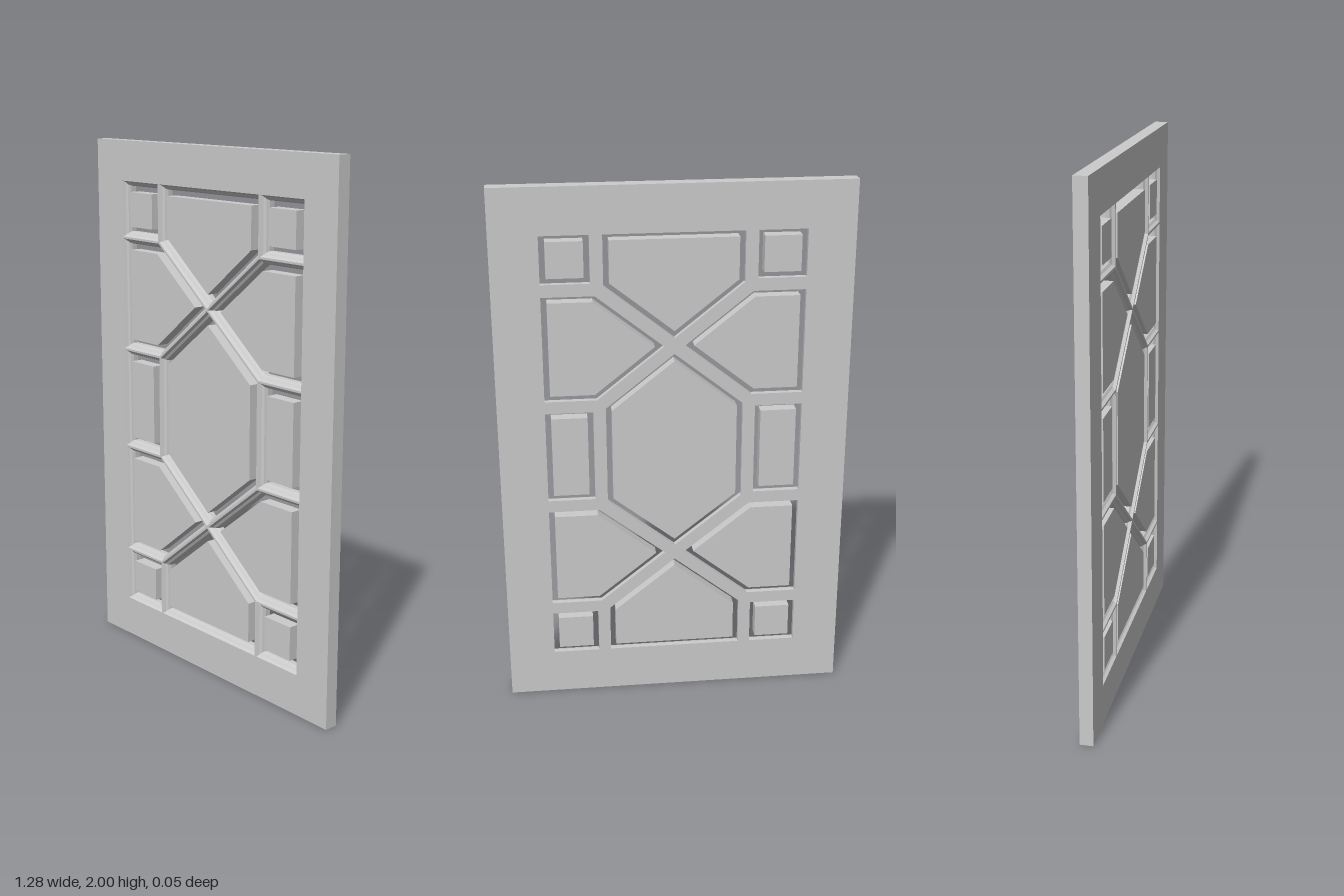
import * as THREE from 'three';

const W = 0.642, H = 2, Z = 0.025;                     // half width, height, half thickness
const OUT = 0.493, BAR = 0.273;                        // opening edge, upright bar centre
const Y = [0.152, 0.37, 0.804, 1.198, 1.634, 1.853];   // horizontal bar centres
const LOW = 0.588, HIGH = 1.416;                       // crossings of the diagonals

// Moulding profile round each opening: [inset from bar centre, z]
const MOULDING = [[0.004, Z], [0.010, 0.014], [0.018, 0.008], [0.023, -0.004], [0.023, -Z]];
const PANEL_INSET = 0.044, PANEL_FRONT = 0.021;

const v = (x, y) => new THREE.Vector2(x, y);

// Shrink a convex counter-clockwise polygon by a distance d
function inset(poly, d) {
  return poly.map((p, i) => {
    const a = poly[(i + poly.length - 1) % poly.length], b = poly[(i + 1) % poly.length];
    const u = p.clone().sub(a).normalize(), w = b.clone().sub(p).normalize();
    const n1 = v(-u.y, u.x), n2 = v(-w.y, w.x);
    const k = d / (1 + n1.dot(n2));
    return p.clone().addScaledVector(n1, k).addScaledVector(n2, k);
  });
}

// Join successive loops [{poly, z}] with quads; loops running backwards in z face inwards
function loft(loops) {
  const pos = [];
  for (let k = 0; k + 1 < loops.length; k++) {
    const A = loops[k], B = loops[k + 1], n = A.poly.length;
    for (let i = 0; i < n; i++) {
      const j = (i + 1) % n;
      const a = [A.poly[i].x, A.poly[i].y, A.z], b = [A.poly[j].x, A.poly[j].y, A.z];
      const c = [B.poly[j].x, B.poly[j].y, B.z], d = [B.poly[i].x, B.poly[i].y, B.z];
      pos.push(...a, ...b, ...c, ...a, ...c, ...d);
    }
  }
  const g = new THREE.BufferGeometry();
  g.setAttribute('position', new THREE.Float32BufferAttribute(pos, 3));
  g.computeVertexNormals();
  return g;
}

const rect = (x0, y0, x1, y1) => [v(x0, y0), v(x1, y0), v(x1, y1), v(x0, y1)];
const mirrorX = poly => poly.map(p => v(-p.x, p.y)).reverse();

// Cells of the lattice, bounded by bar centre lines
function makeCells() {
  const cells = [];
  const sides = [
    ['cornerPanel', rect(BAR, Y[0], OUT, Y[1])],
    ['cornerPanel', rect(BAR, Y[4], OUT, Y[5])],
    ['middleSidePanel', rect(BAR, Y[2], OUT, Y[3])],
    ['pointedSidePanel', [v(0, LOW), v(BAR, Y[1]), v(OUT, Y[1]), v(OUT, Y[2]), v(BAR, Y[2])]],
    ['pointedSidePanel', [v(0, HIGH), v(BAR, Y[3]), v(OUT, Y[3]), v(OUT, Y[4]), v(BAR, Y[4])]],
  ];
  for (const [name, poly] of sides) cells.push([name, poly], [name, mirrorX(poly)]);
  cells.push(
    ['bottomPanel', [v(-BAR, Y[0]), v(BAR, Y[0]), v(BAR, Y[1]), v(0, LOW), v(-BAR, Y[1])]],
    ['hexagonPanel', [v(0, LOW), v(BAR, Y[2]), v(BAR, Y[3]), v(0, HIGH), v(-BAR, Y[3]), v(-BAR, Y[2])]],
    ['topPanel', [v(-BAR, Y[5]), v(-BAR, Y[4]), v(0, HIGH), v(BAR, Y[4]), v(BAR, Y[5])]],
  );
  return cells;
}

export function createModel() {
  const group = new THREE.Group();
  const material = new THREE.MeshStandardMaterial({ color: 0xcccccc, flatShading: true });
  const add = (name, geometry, parent = group) => {
    const mesh = new THREE.Mesh(geometry, material);
    mesh.name = name;
    parent.add(mesh);
    return mesh;
  };
  const cells = makeCells();
  const outline = rect(-W, 0, W, H);

  // Frame and lattice: flat front and back faces pierced by the openings
  const frame = new THREE.Group();
  frame.name = 'frame';
  group.add(frame);
  const face = d => {
    const shape = new THREE.Shape(outline);
    for (const [, poly] of cells) shape.holes.push(new THREE.Path(inset(poly, d)));
    return new THREE.ShapeGeometry(shape);
  };
  add('frontFace', face(MOULDING[0][0]), frame).position.z = Z;
  const back = add('backFace', face(MOULDING.at(-1)[0]), frame);
  back.rotation.y = Math.PI;
  back.position.z = -Z;
  add('outerEdge', loft([{ poly: outline, z: -Z }, { poly: outline, z: Z }]), frame);

  // Moulded edge of each opening, and the loose panel standing inside it
  for (const [name, poly] of cells) {
    add('moulding', loft(MOULDING.map(([d, z]) => ({ poly: inset(poly, d), z }))), frame);
    const panel = new THREE.ExtrudeGeometry(new THREE.Shape(inset(poly, PANEL_INSET)),
      { depth: PANEL_FRONT + Z, bevelEnabled: false });
    add(name, panel).position.z = -Z;
  }
  return group;
}
